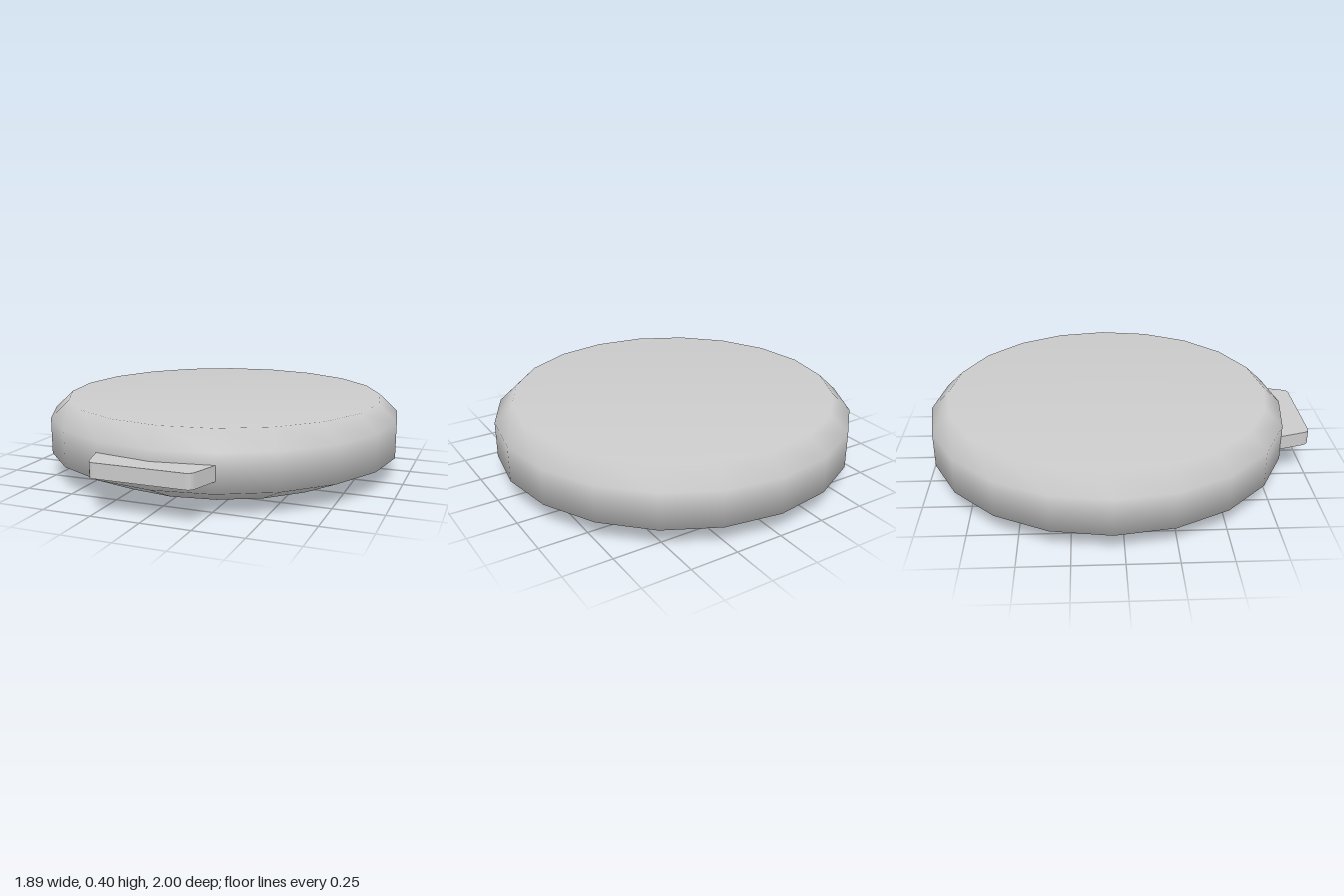
import * as THREE from 'three';

const SIDES = 20;
const BODY_Z = -0.055;

export function createModel() {
  const group = new THREE.Group();
  const grey = new THREE.MeshStandardMaterial({ color: 0xcccccc });

  const add = (name, geometry, z = 0) => {
    const mesh = new THREE.Mesh(geometry, grey);
    mesh.name = name;
    mesh.position.z = z;
    group.add(mesh);
    return mesh;
  };
  // Profiles run from bottom to top as [radius, height]
  const turned = (profile) =>
    new THREE.LatheGeometry(profile.map(([r, y]) => new THREE.Vector2(r, y)), SIDES);

  // Round body: sloped underside, upright rim, bevelled shoulder and flat top
  add('body', turned([
    [0.695, 0.012], [0.72, 0.02], [0.945, 0.12], [0.945, 0.31], [0.85, 0.4], [0, 0.4],
  ]), BODY_Z);

  // Very shallow domed base plate
  add('basePlate', turned([[0, 0], [0.2, 0.001], [0.5, 0.006], [0.695, 0.012]]), BODY_Z);

  // Front tab, drawn as seen from above with y as depth, tapering to rounded corners
  const tab = new THREE.Shape();
  tab.moveTo(-0.3, 0.78);
  tab.lineTo(0.3, 0.78);
  tab.lineTo(0.3, 0.84);
  tab.lineTo(0.262, 0.965);
  tab.quadraticCurveTo(0.252, 1, 0.225, 1);
  tab.lineTo(-0.225, 1);
  tab.quadraticCurveTo(-0.252, 1, -0.262, 0.965);
  tab.lineTo(-0.3, 0.84);
  tab.closePath();
  const tabGeometry = new THREE.ExtrudeGeometry(tab, {
    depth: 0.075, bevelEnabled: false, curveSegments: 4,
  });
  tabGeometry.rotateX(Math.PI / 2);
  tabGeometry.translate(0, 0.255, 0);
  add('frontTab', tabGeometry);

  return group;
}
